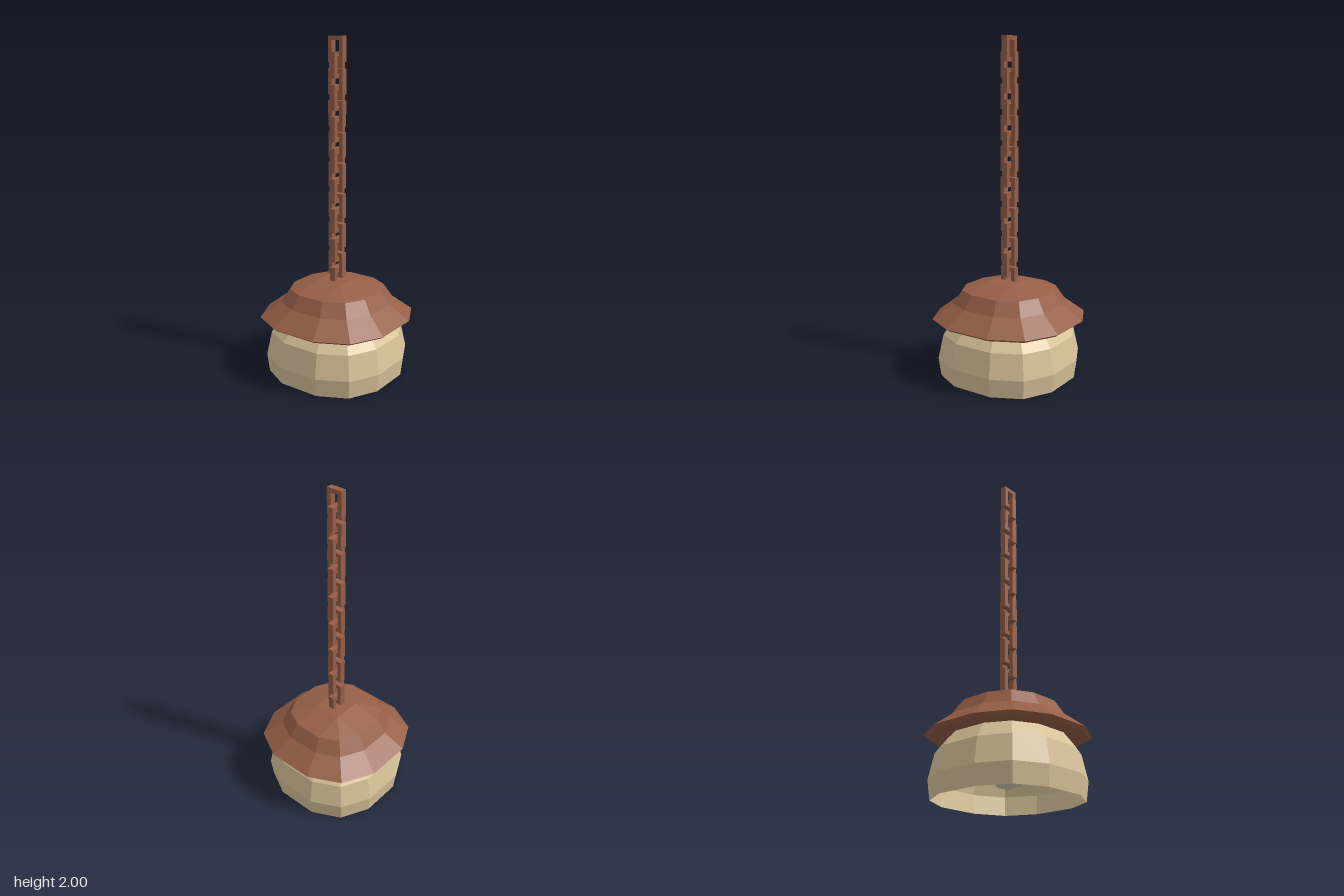
import * as THREE from 'three';

const brown = new THREE.MeshStandardMaterial({ color: 0x965f47, flatShading: true });
const tan = new THREE.MeshStandardMaterial({ color: 0xd9c49a, flatShading: true, side: THREE.DoubleSide });
const pale = new THREE.MeshStandardMaterial({ color: 0xd8ccb4, flatShading: true });

// Twelve-sided squarish outline, half-width 1
const quarter = [[1, -0.335], [1, 0.335], [0.777, 0.777]];
const outline = [];
for (let q = 0; q < 4; q++) {
  for (const [x, z] of quarter) {
    outline.push([[x, z], [-z, x], [-x, -z], [z, -x]][q]);
  }
}

// Skin through levels [halfWidth, y, clamp], listed from bottom to top;
// clamp squeezes a level into a square of that half-width
function loft(levels) {
  const positions = [];
  const index = [];
  const n = outline.length;
  levels.forEach(([r, y, clamp = Infinity], k) => {
    for (const [x, z] of outline) {
      positions.push(
        THREE.MathUtils.clamp(x * r, -clamp, clamp), y,
        THREE.MathUtils.clamp(z * r, -clamp, clamp));
    }
    if (k === 0) return;
    for (let i = 0; i < n; i++) {
      const a = (k - 1) * n + i, b = (k - 1) * n + (i + 1) % n;
      index.push(a, a + n, b + n, a, b + n, b);
    }
  });
  const geometry = new THREE.BufferGeometry();
  geometry.setAttribute('position', new THREE.Float32BufferAttribute(positions, 3));
  geometry.setIndex(index);
  geometry.computeVertexNormals();
  return geometry;
}

function addMesh(parent, name, geometry, material) {
  const mesh = new THREE.Mesh(geometry, material);
  mesh.name = name;
  parent.add(mesh);
  return mesh;
}

// Rectangular chain link with a square hole, centred on its own origin
function linkGeometry() {
  const w = 0.05, h = 0.0725, t = 0.025, depth = 0.037;
  const rect = (C, x, y) => new C([
    new THREE.Vector2(-x, -y), new THREE.Vector2(x, -y),
    new THREE.Vector2(x, y), new THREE.Vector2(-x, y)]);
  const shape = rect(THREE.Shape, w, h);
  shape.holes.push(rect(THREE.Path, w - t, h - t));
  return new THREE.ExtrudeGeometry(shape, { depth, bevelEnabled: false }).translate(0, 0, -depth / 2);
}

export function createModel() {
  const model = new THREE.Group();
  model.name = 'hangingLamp';

  // Flared cap with a closed underside and a shallow crown
  addMesh(model, 'cap', loft([
    [0, 0.34], [0.405, 0.34], [0.424, 0.355], [0.31, 0.445],
    [0.26, 0.525], [0.26, 0.573, 0.087], [0, 0.573],
  ]), brown);

  // Open glass shade
  addMesh(model, 'shade', loft([
    [0.38, 0], [0.394, 0.11], [0.365, 0.255], [0.3, 0.345],
  ]), tan);

  // Bulb inside the shade
  addMesh(model, 'bulb', new THREE.IcosahedronGeometry(0.14, 1), pale).position.y = 0.2;

  // Chain of links, each turned a quarter from the last
  const chain = new THREE.Group();
  chain.name = 'chain';
  model.add(chain);
  const link = linkGeometry();
  for (let i = 0; i < 16; i++) {
    const mesh = addMesh(chain, 'chainLink', link, brown);
    mesh.position.y = 2 - 0.0725 - i * 0.0896;
    mesh.rotation.y = i % 2 ? 0 : Math.PI / 2;
  }
  return model;
}
